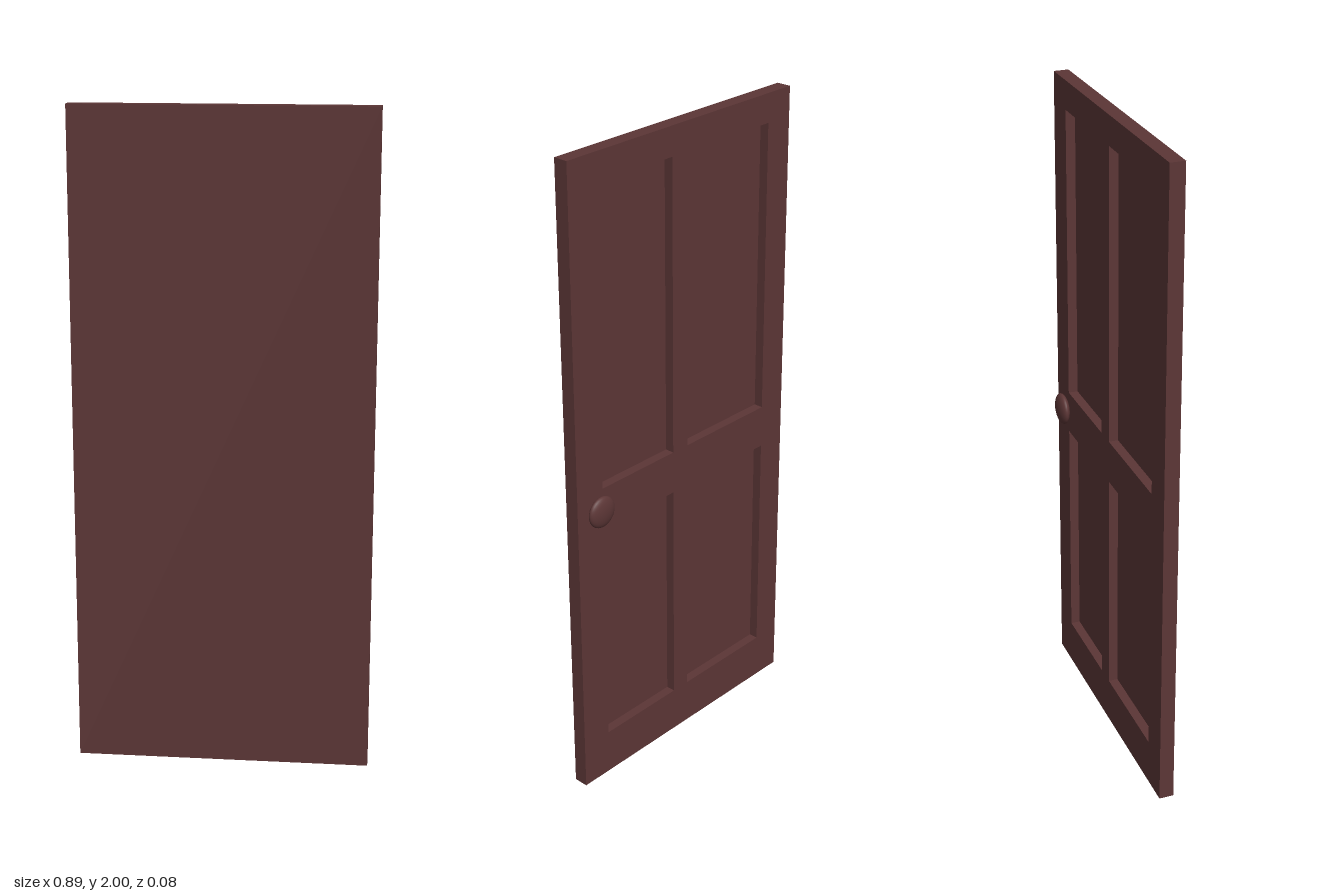
import * as THREE from 'three';

const WIDTH = 0.894, HEIGHT = 2;
const Z_FRONT = 0.038, Z_FLOOR = 0.022, Z_BACK = -0.007;

// Counter-clockwise rectangle
function rectangle(path, x0, x1, y0, y1) {
  path.moveTo(x0, y0);
  path.lineTo(x1, y0);
  path.lineTo(x1, y1);
  path.lineTo(x0, y1);
  path.closePath();
  return path;
}

export function createModel() {
  const model = new THREE.Group();
  model.name = 'door';
  const wood = new THREE.MeshStandardMaterial({ color: 0x5c3636 });
  wood.name = 'dark brown';

  const add = (name, geometry, x, y, z) => {
    const mesh = new THREE.Mesh(geometry, wood);
    mesh.name = name;
    mesh.position.set(x, y, z);
    model.add(mesh);
    return mesh;
  };

  // Plain front slab, also the floor of the recessed panels
  const slabDepth = Z_FRONT - Z_FLOOR;
  add('slab', new THREE.BoxGeometry(WIDTH, HEIGHT, slabDepth), 0, HEIGHT / 2, Z_FLOOR + slabDepth / 2);

  // Stiles and rails around four recessed panels on the back
  const frame = rectangle(new THREE.Shape(), -WIDTH / 2, WIDTH / 2, 0, HEIGHT);
  const columns = [[-0.354, -0.012], [0.05, 0.346]];
  const rows = [[0.145, 0.867], [1.002, 1.912]];
  for (const [x0, x1] of columns) {
    for (const [y0, y1] of rows) {
      frame.holes.push(rectangle(new THREE.Path(), x0, x1, y0, y1));
    }
  }
  add('panelFrame', new THREE.ExtrudeGeometry(frame, { depth: Z_FLOOR - Z_BACK, bevelEnabled: false }), 0, 0, Z_BACK);

  // Flattened round knob, poles along z
  const knobGeometry = new THREE.SphereGeometry(1, 32, 20);
  knobGeometry.rotateX(-Math.PI / 2);
  knobGeometry.scale(0.049, 0.049, 0.018);
  add('knob', knobGeometry, 0.366, 0.94, -0.022);

  return model;
}
